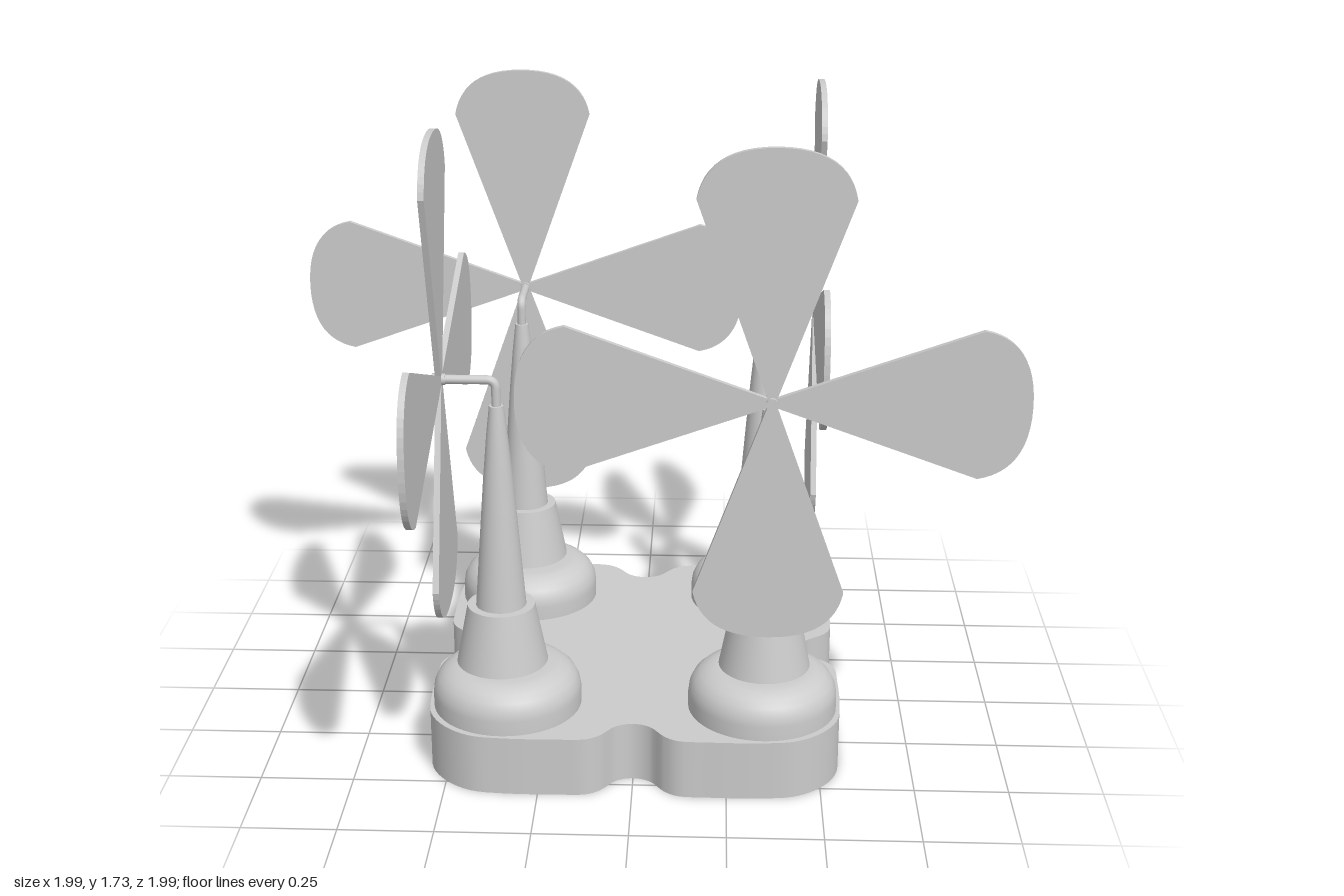
import * as THREE from 'three';
import { ParametricGeometry } from 'three/addons/geometries/ParametricGeometry.js';

const PAD = 0.345;      // pad and tower distance from the centre lines
const TOWER = 0.352;
const PAD_R = 0.2;
const DECK = 0.165;     // height of the deck
const HUB_Y = 1.09;
const FAN = 0.498;      // distance of the fan planes from the centre

const material = new THREE.MeshStandardMaterial({ color: 0xcccccc, side: THREE.DoubleSide });

function part(name, geometry, parent) {
  const mesh = new THREE.Mesh(geometry, material);
  mesh.name = name;
  parent.add(mesh);
  return mesh;
}

const lathe = (points, segments = 40) =>
  new THREE.LatheGeometry(points.map(([r, y]) => new THREE.Vector2(r, y)), segments);

// Four rounded lobes with a notch in the middle of each side
function baseOutline() {
  const half = [[0, 0.465], [0.045, 0.48], [0.085, 0.53], [0.12, 0.552], [0.2, 0.557], [0.34, 0.556], [0.43, 0.543]];
  const corner = [0.498, 0.498];
  const mirrored = half.slice(1).reverse().map(([x, z]) => [z, x]);
  let side = [...half, corner, ...mirrored];
  const points = [];
  for (let i = 0; i < 4; i++) {
    points.push(...side.map(([x, z]) => new THREE.Vector3(x, 0, z)));
    side = side.map(([x, z]) => [z, -x]);
  }
  return new THREE.CatmullRomCurve3(points, true, 'centripetal');
}

// Hollow base: open skirt, deck with four openings, domed pads over them
function createBase() {
  const base = new THREE.Group();
  base.name = 'base';
  const curve = baseOutline();
  const count = 224;

  part('skirt', new ParametricGeometry((u, v, target) => {
    curve.getPoint(u % 1, target);
    target.y = v * DECK;
  }, count, 1), base);

  const outline = curve.getPoints(count).slice(0, count);
  const shape = new THREE.Shape(outline.map(p => new THREE.Vector2(p.x, -p.z)));
  for (const x of [-PAD, PAD]) {
    for (const y of [-PAD, PAD]) {
      shape.holes.push(new THREE.Path().absarc(x, y, PAD_R, 0, Math.PI * 2, true));
    }
  }
  const deck = part('deck', new THREE.ShapeGeometry(shape, 24), base);
  deck.rotation.x = -Math.PI / 2;
  deck.position.y = DECK;

  const dome = [[PAD_R, DECK], [0.2, 0.205], [0.197, 0.228], [0.186, 0.251], [0.168, 0.268],
    [0.145, 0.279], [0.12, 0.284], [0, 0.285]];
  for (const x of [-PAD, PAD]) {
    for (const z of [-PAD, PAD]) {
      part('pad', lathe(dome, 48), base).position.set(x, 0, z);
    }
  }
  return base;
}

// One blade pointing up from the hub
function bladeGeometry() {
  const s = new THREE.Shape();
  s.moveTo(-0.008, 0);
  s.lineTo(0.008, 0);
  s.lineTo(0.193, 0.515);
  s.bezierCurveTo(0.178, 0.595, 0.12, 0.642, 0, 0.642);
  s.bezierCurveTo(-0.12, 0.642, -0.178, 0.595, -0.193, 0.515);
  s.closePath();
  const geometry = new THREE.ExtrudeGeometry(s, { depth: 0.016, bevelEnabled: false, curveSegments: 12 });
  return geometry.translate(0, 0, -0.008);
}

// Tower with its bent axle and four-bladed fan
function createWindmill() {
  const mill = new THREE.Group();
  mill.name = 'windmill';

  const foot = part('towerFoot', new THREE.CylinderGeometry(0.09, 0.122, 0.165, 40), mill);
  foot.position.y = 0.3775;

  part('tower', lathe([[0.067, 0.46], [0.06, 0.55], [0.05, 0.68], [0.039, 0.82], [0.028, 0.94], [0.019, 1.02]]), mill);
  part('towerCap', new THREE.CircleGeometry(0.019, 24).rotateX(-Math.PI / 2).translate(0, 1.02, 0), mill);

  const path = new THREE.CurvePath();
  const v = (y, z) => new THREE.Vector3(0, y, z);
  path.add(new THREE.LineCurve3(v(1.0, 0), v(HUB_Y - 0.025, 0)));
  path.add(new THREE.QuadraticBezierCurve3(v(HUB_Y - 0.025, 0), v(HUB_Y, 0), v(HUB_Y, 0.025)));
  path.add(new THREE.LineCurve3(v(HUB_Y, 0.025), v(HUB_Y, FAN - TOWER + 0.01)));
  part('axle', new THREE.TubeGeometry(path, 40, 0.012, 12), mill);

  const fan = new THREE.Group();
  fan.name = 'fan';
  fan.position.set(0, HUB_Y, FAN - TOWER);
  const blade = bladeGeometry();
  for (let i = 0; i < 4; i++) {
    part('blade', blade, fan).rotation.z = i * Math.PI / 2;
  }
  part('hub', new THREE.CylinderGeometry(0.015, 0.015, 0.034, 20).rotateX(Math.PI / 2), fan);
  mill.add(fan);
  return mill;
}

export function createModel() {
  const model = new THREE.Group();
  model.name = 'windmillCluster';
  model.add(createBase());

  // Each windmill is the previous one turned a quarter around the centre
  const ring = new THREE.Group();
  ring.name = 'windmills';
  ring.position.x = -0.004;
  for (let i = 0; i < 4; i++) {
    const quarter = new THREE.Group();
    quarter.name = 'quarter';
    const mill = createWindmill();
    mill.position.set(TOWER, 0, TOWER);
    quarter.add(mill);
    quarter.rotation.y = i * Math.PI / 2;
    ring.add(quarter);
  }
  model.add(ring);
  return model;
}
